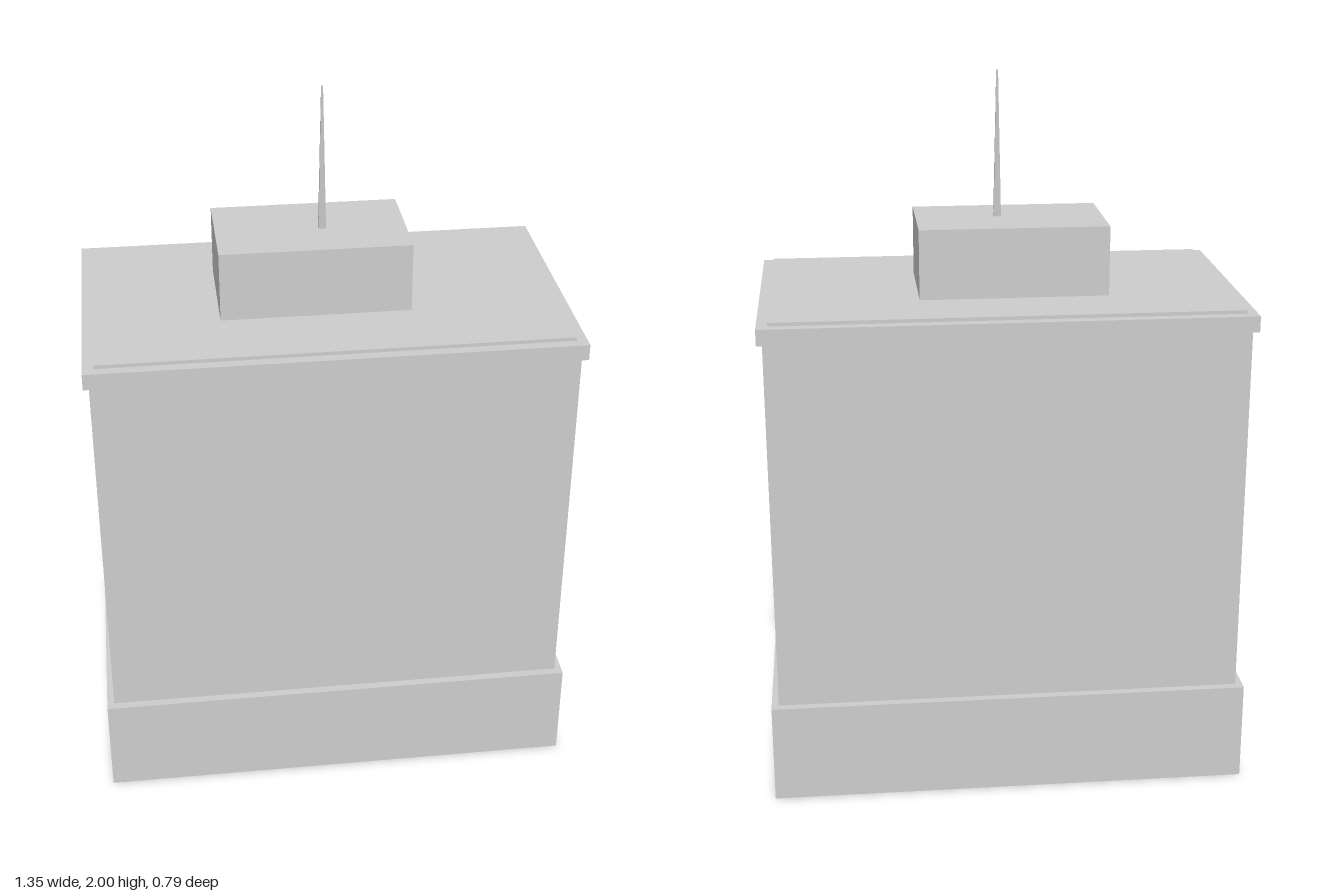
import * as THREE from 'three';

export function createModel() {
  const model = new THREE.Group();
  model.name = 'officeBuilding';
  const concrete = new THREE.MeshStandardMaterial({ color: 0xcccccc });
  concrete.name = 'lightGreyConcrete';

  // Box given by its extents along each axis
  function block(name, [x0, x1], [y0, y1], [z0, z1]) {
    const mesh = new THREE.Mesh(new THREE.BoxGeometry(x1 - x0, y1 - y0, z1 - z0), concrete);
    mesh.position.set((x0 + x1) / 2, (y0 + y1) / 2, (z0 + z1) / 2);
    mesh.name = name;
    model.add(mesh);
  }

  // Stacked storeys, from the plinth to the flat roof
  block('base', [-0.675, 0.675], [0, 0.285], [-0.393, 0.393]);
  block('tower', [-0.655, 0.655], [0.285, 1.345], [-0.37, 0.37]);
  block('cornice', [-0.67, 0.67], [1.345, 1.39], [-0.386, 0.386]);
  block('roofSlab', [-0.64, 0.64], [1.39, 1.4], [-0.357, 0.357]);

  // Off-centre plant room on the roof
  block('penthouse', [-0.295, 0.23], [1.4, 1.595], [-0.168, 0.145]);

  // Tapered six-sided mast
  const antenna = new THREE.Mesh(
    new THREE.CylinderGeometry(0.003, 0.012, 0.405, 6).toNonIndexed(), concrete);
  antenna.geometry.computeVertexNormals();
  antenna.position.y = 1.7975;
  antenna.name = 'antenna';
  model.add(antenna);

  return model;
}
